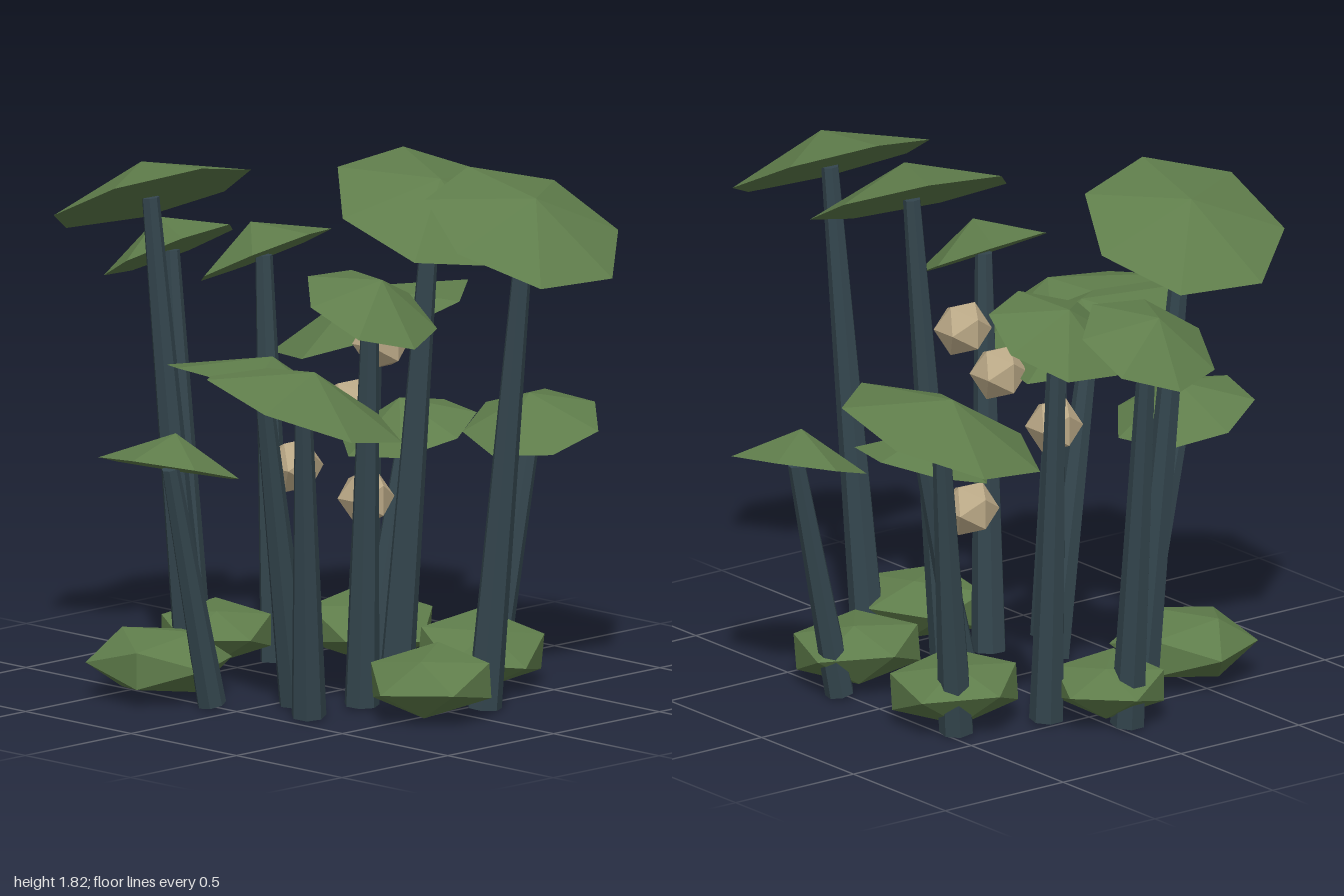
import * as THREE from 'three';

const UP = new THREE.Vector3(0, 1, 0);

export function createModel() {
  const group = new THREE.Group();
  const material = (name, color) => {
    const m = new THREE.MeshStandardMaterial({ color, flatShading: true });
    m.name = name;
    return m;
  };
  const leaf = material('leaf green', 0x5f7d4b);
  const stalk = material('slate stem', 0x34464e);
  const seed = material('tan fruit', 0xbba987);

  const add = (name, geometry, mat, parent = group) => {
    const mesh = new THREE.Mesh(geometry, mat);
    mesh.name = name;
    parent.add(mesh);
    return mesh;
  };

  // Tapered stem between two points
  const addStem = (parent, base, top, rBase, rTop) => {
    const dir = top.clone().sub(base);
    const mesh = add('stem', new THREE.CylinderGeometry(rTop, rBase, dir.length(), 7), stalk, parent);
    mesh.position.copy(base).addScaledVector(dir, 0.5);
    mesh.quaternion.setFromUnitVectors(UP, dir.normalize());
  };

  // Seven-sided cone cap: its base centre, the way its axis leans, tilt and spin in degrees
  const addCap = (parent, centre, [lx, lz], tilt, spin, radius, height) => {
    const geometry = new THREE.ConeGeometry(radius, height, 7);
    geometry.translate(0, height / 2, 0);
    geometry.rotateY(Math.PI - THREE.MathUtils.degToRad(spin));
    const t = THREE.MathUtils.degToRad(tilt);
    const l = Math.hypot(lx, lz);
    const axis = new THREE.Vector3(Math.sin(t) * lx / l, Math.cos(t), Math.sin(t) * lz / l);
    const mesh = add('cap', geometry, leaf, parent);
    mesh.position.copy(centre);
    mesh.quaternion.setFromUnitVectors(UP, axis);
  };

  // Stalks: base x, z | cap centre x, y, z | lean x, z | tilt, spin | cap radius, height
  const stalks = [
    // tallest
    [[-0.26, -0.45], [-0.375, 1.66, -0.535], [0.2, -1], 26, -14, 0.35, 0.125],
    [[0.06, 0.19], [0.16, 1.66, 0.26], [-0.2, 1], 26, 26, 0.35, 0.125],
    [[0.1, 0.57], [0.16, 1.66, 0.705], [-0.1, 1], 27, 7, 0.35, 0.125],
    // tall, small caps
    [[-0.04, -0.66], [-0.015, 1.385, -0.8], [-0.1, -1], 27, 6, 0.24, 0.12],
    [[0.14, -0.45], [0.165, 1.38, -0.54], [-0.2, -1], 26, 26, 0.245, 0.12],
    [[-0.16, 0.25], [-0.2, 1.38, 0.33], [0.1, 1], 26, 26, 0.24, 0.12],
    // medium, wide caps
    [[0.46, -0.37], [0.59, 1.11, -0.45], [-0.7, -0.7], 19, 12, 0.36, 0.12],
    [[-0.29, 0.07], [-0.485, 1.11, 0.11], [1, 0.15], 19, 27, 0.355, 0.12],
    [[-0.41, 0.25], [-0.535, 1.105, 0.35], [0.65, 0.75], 19, -10, 0.355, 0.12],
    // short
    [[-0.51, -0.11], [-0.69, 0.84, -0.125], [1, -0.2], 16, 0, 0.245, 0.12],
    [[0.52, 0.19], [0.68, 0.84, 0.22], [-0.9, 0.45], 18, 4, 0.238, 0.12],
    [[0.14, -0.02], [0.33, 0.835, -0.025], [-1, -0.1], 16, 26, 0.24, 0.12],
  ];
  stalks.forEach(([base, top, lean, tilt, spin, radius, height]) => {
    const plant = new THREE.Group();
    plant.name = 'stalk';
    group.add(plant);
    const centre = new THREE.Vector3(...top);
    const rBase = top[1] > 1 ? 0.06 : 0.05;
    addStem(plant, new THREE.Vector3(base[0], 0.01, base[1]), centre, rBase, 0.03);
    addCap(plant, centre, lean, tilt, spin, radius, height);
  });

  // Flattened leaf clumps around the foot: x, z, radius, turn, tilt about x, tilt about z
  [
    [0.39, -0.265, 0.25, 1.02, 0.1, 0],
    [0.385, 0.27, 0.245, 0.9, 0.13, 0],
    [-0.1, 0.52, 0.24, 0.55, 0, 0.08],
    [-0.51, -0.36, 0.25, 2.0, 0, 0],
    [-0.04, -0.56, 0.215, 0.8, 0, 0],
  ].forEach(([x, z, r, turn, tiltX, tiltZ]) => {
    const mesh = add('footClump', new THREE.IcosahedronGeometry(r, 0), leaf);
    mesh.scale.y = 0.48;
    mesh.rotation.set(tiltX, turn, tiltZ, 'XZY');
    mesh.position.set(x, 0.125, z);
  });

  // Round fruits in a rising spiral
  [
    [0.13, 0.635, -0.02],
    [-0.295, 0.82, 0.07],
    [-0.13, 1.015, 0.16],
    [0.03, 1.205, 0.15],
  ].forEach((p) => {
    add('fruit', new THREE.IcosahedronGeometry(0.098, 0), seed).position.set(...p);
  });

  return group;
}
